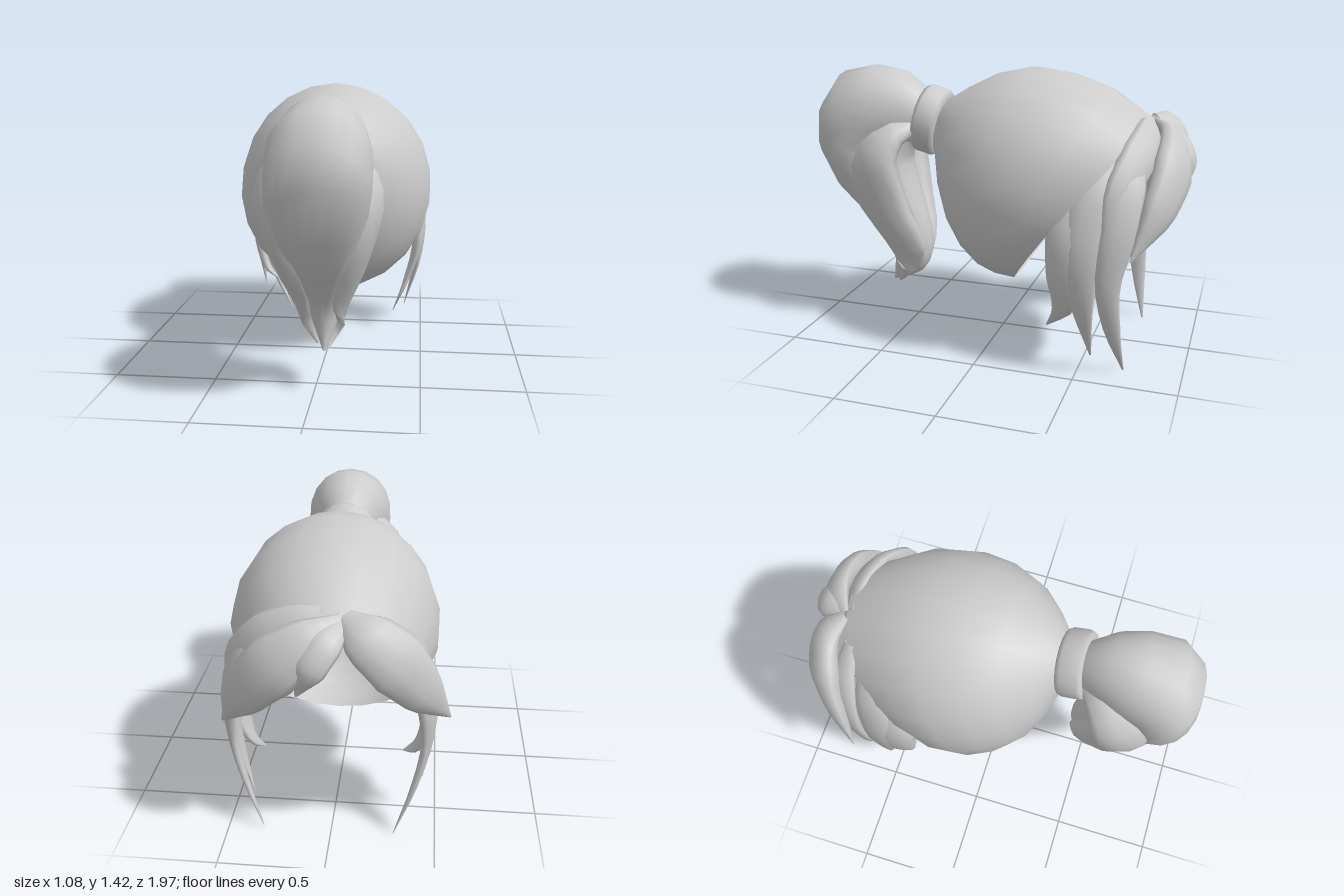
import * as THREE from 'three';

const hair = new THREE.MeshStandardMaterial({ color: 0xcccccc, side: THREE.DoubleSide });
hair.name = 'hair grey';
const V = (x, y, z) => new THREE.Vector3(x, y, z);

// Skin a list of closed rings with smooth normals
function skin(name, rings) {
  const n = rings[0].length, idx = [];
  for (let i = 0; i < rings.length - 1; i++) {
    for (let j = 0; j < n; j++) {
      const a = i * n + j, b = i * n + (j + 1) % n;
      idx.push(a, a + n, b, b, a + n, b + n);
    }
  }
  const g = new THREE.BufferGeometry().setFromPoints(rings.flat());
  g.setIndex(idx);
  g.computeVertexNormals();
  const mesh = new THREE.Mesh(g, hair);
  mesh.name = name;
  return mesh;
}

// Elliptic rings: [topZ, topY, bottomZ, bottomY, halfWidth, centreX, bow]
function loft(name, sections, sides) {
  return skin(name, sections.map(([tz, ty, bz, by, w, cx, bow = 0]) => {
    const ring = [];
    for (let j = 0; j < sides; j++) {
      const t = (j / sides) * Math.PI * 2, c = Math.cos(t), s = Math.sin(t);
      ring.push(V(cx + w * s, (ty + by) / 2 + (ty - by) / 2 * c,
        (tz + bz) / 2 + (tz - bz) / 2 * c + bow * s * s));
    }
    return ring;
  }));
}

// Tapered lock along a curve, its flat side facing away from centre: [x, y, z, halfWidth]
function lock(name, pts, centre, thickness, steps = 14, sides = 10) {
  const curve = new THREE.CatmullRomCurve3(pts.map(p => V(p[0], p[1], p[2])));
  const rings = [];
  for (let i = 0; i <= steps; i++) {
    const u = i / steps, f = u * (pts.length - 1), k = Math.min(Math.floor(f), pts.length - 2);
    const w = THREE.MathUtils.lerp(pts[k][3], pts[k + 1][3], f - k);
    const p = curve.getPoint(u), tan = curve.getTangent(u);
    const side = V().crossVectors(tan, p.clone().sub(centre)).normalize();
    const out = V().crossVectors(side, tan).normalize();
    const ring = [];
    for (let j = 0; j < sides; j++) {
      const t = -(j / sides) * Math.PI * 2;
      ring.push(p.clone().addScaledVector(side, w * Math.cos(t))
        .addScaledVector(out, w * thickness * Math.sin(t)));
    }
    rings.push(ring);
  }
  return skin(name, rings);
}

export function createModel() {
  const model = new THREE.Group();
  model.name = 'ponytailHair';

  // Scalp shell, from the knot to the open face side
  model.add(loft('scalpShell', [
    [0.28, 1.24, 0.35, 0.97, 0.13, 0.035],
    [0.25, 1.26, 0.33, 0.92, 0.17, 0.035],
    [0.17, 1.31, 0.30, 0.75, 0.27, 0.03],
    [0.02, 1.385, 0.25, 0.60, 0.39, 0.025],
    [-0.16, 1.425, 0.17, 0.47, 0.47, 0.025],
    [-0.36, 1.40, 0.08, 0.385, 0.512, 0.025],
    [-0.56, 1.33, 0.0, 0.35, 0.51, 0.025],
    [-0.77, 1.19, -0.10, 0.335, 0.46, 0.025, 0.04],
  ], 22));

  // Hair band
  model.add(loft('hairBand', [
    [0.29, 1.22, 0.35, 0.99, 0.12, 0.035],
    [0.27, 1.26, 0.345, 0.955, 0.16, 0.035],
    [0.29, 1.285, 0.37, 0.945, 0.17, 0.035],
    [0.37, 1.312, 0.45, 0.965, 0.17, 0.035],
    [0.395, 1.305, 0.465, 0.975, 0.16, 0.035],
    [0.40, 1.26, 0.455, 1.01, 0.12, 0.035],
  ], 18));

  // Ponytail: main lobe with side and inner locks
  const tail = new THREE.Group();
  tail.name = 'ponytail';
  tail.add(loft('tailLobe', [
    [0.38, 1.26, 0.43, 1.02, 0.11, 0.035],
    [0.43, 1.31, 0.46, 1.0, 0.13, 0.035],
    [0.53, 1.38, 0.50, 0.99, 0.17, 0.04],
    [0.68, 1.405, 0.54, 0.96, 0.21, 0.045, 0.02],
    [0.86, 1.365, 0.57, 0.92, 0.235, 0.045, 0.05],
    [0.97, 1.21, 0.57, 0.86, 0.235, 0.045, 0.06],
    [0.995, 1.03, 0.56, 0.80, 0.225, 0.04, 0.05],
    [0.92, 0.79, 0.53, 0.70, 0.175, 0.035, 0.03],
    [0.755, 0.595, 0.50, 0.57, 0.12, 0.035],
    [0.645, 0.46, 0.45, 0.46, 0.09, 0.04],
    [0.605, 0.36, 0.46, 0.35, 0.065, 0.045],
    [0.62, 0.22, 0.58, 0.23, 0.01, 0.05],
  ], 18));
  const core = V(0.04, 0.75, 0.58);
  tail.add(lock('tailLockRight', [
    [0.0, 1.13, 0.43, 0.07], [-0.09, 1.12, 0.57, 0.14], [-0.165, 0.98, 0.67, 0.17],
    [-0.13, 0.72, 0.63, 0.16], [-0.06, 0.48, 0.52, 0.115], [-0.01, 0.34, 0.50, 0.08],
    [0.02, 0.24, 0.57, 0.01]], core, 0.55));
  tail.add(lock('tailLockLeft', [
    [0.08, 1.12, 0.43, 0.07], [0.17, 1.08, 0.56, 0.13], [0.225, 0.93, 0.64, 0.16],
    [0.18, 0.7, 0.61, 0.15], [0.12, 0.48, 0.52, 0.115], [0.08, 0.34, 0.495, 0.08],
    [0.06, 0.22, 0.58, 0.01]], core, 0.55));
  tail.add(lock('tailLockInner', [
    [0.035, 1.08, 0.46, 0.08], [0.04, 0.93, 0.56, 0.12], [0.04, 0.75, 0.53, 0.12],
    [0.04, 0.58, 0.47, 0.10], [0.04, 0.43, 0.435, 0.08], [0.045, 0.32, 0.46, 0.06],
    [0.05, 0.24, 0.56, 0.01]], V(0.04, 0.7, 0.9), 0.5));
  model.add(tail);

  // Bangs sweeping from the parting
  const head = V(0.025, 0.82, -0.3);
  const addBang = (name, pts, thick) => model.add(lock(name, pts, head, thick));
  addBang('bangLeftFront', [
    [-0.07, 1.17, -0.77, 0.03], [0.06, 1.11, -0.87, 0.11], [0.22, 1.0, -0.89, 0.14],
    [0.37, 0.83, -0.845, 0.11], [0.49, 0.63, -0.75, 0.005]], 0.45);
  addBang('bangLeftBack', [
    [-0.05, 1.18, -0.74, 0.03], [0.12, 1.15, -0.76, 0.08], [0.28, 1.07, -0.74, 0.10],
    [0.42, 0.92, -0.68, 0.09], [0.49, 0.68, -0.62, 0.005]], 0.45);
  addBang('bangSmall', [
    [-0.07, 1.16, -0.78, 0.03], [-0.01, 1.11, -0.89, 0.07], [0.06, 1.01, -0.945, 0.07],
    [0.12, 0.88, -0.93, 0.005]], 0.5);
  addBang('bangRight', [
    [-0.07, 1.18, -0.76, 0.04], [-0.17, 1.12, -0.83, 0.12], [-0.3, 1.0, -0.82, 0.145],
    [-0.42, 0.83, -0.75, 0.11], [-0.545, 0.64, -0.64, 0.005]], 0.5);

  // Long locks hanging beside the face, rooted under the scalp edge
  for (const s of [1, -1]) {
    const label = s > 0 ? 'Left' : 'Right';
    const temple = V(0.015, 0.8, -0.5);
    const addLock = (name, pts, thick) => model.add(lock(name + label,
      pts.map(([x, y, z, w]) => [s > 0 ? x : 0.03 - x, y, z, w]), temple, thick));
    addLock('longLock', [
      [0.22, 1.14, -0.70, 0.04], [0.38, 0.98, -0.71, 0.09], [0.465, 0.75, -0.69, 0.085],
      [0.475, 0.5, -0.65, 0.06], [0.42, 0.25, -0.67, 0.04], [0.33, 0.01, -0.715, 0.004]], 0.4);
    addLock('middleLock', [
      [0.32, 1.07, -0.60, 0.04], [0.42, 0.9, -0.56, 0.10], [0.485, 0.65, -0.53, 0.09],
      [0.475, 0.4, -0.53, 0.06], s > 0 ? [0.4, 0.1, -0.565, 0.004] : [0.46, 0.22, -0.53, 0.004]], 0.35);
    addLock('rearLock', [
      [0.40, 0.95, -0.50, 0.04], [0.475, 0.72, -0.44, 0.09], [0.475, 0.5, -0.435, 0.08],
      [0.43, 0.34, -0.43, 0.055], s > 0 ? [0.38, 0.22, -0.34, 0.004] : [0.36, 0.28, -0.40, 0.004]], 0.35);
  }
  return model;
}
